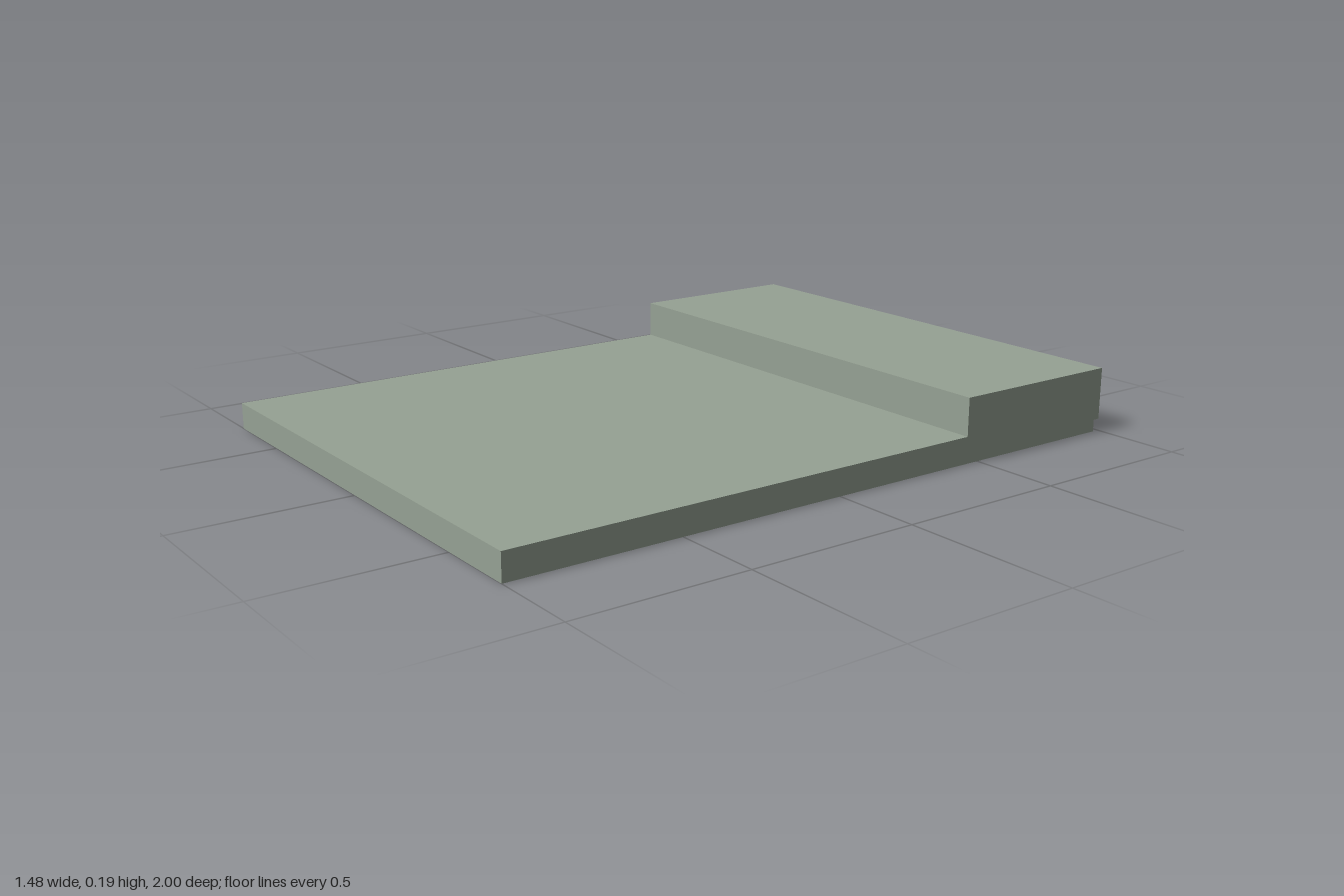
import * as THREE from 'three';

const WIDTH = 1.48;

export function createModel() {
  const group = new THREE.Group();
  group.name = 'steppedSlab';
  const greyGreen = new THREE.MeshStandardMaterial({ color: 0x96a294 });
  greyGreen.name = 'greyGreen';

  // Side profile as (z, y): thin deck, raised rear block, small notch under the back edge
  const profile = [
    [1, 0], [1, 0.077], [-0.458, 0.077], [-0.458, 0.187],
    [-1, 0.187], [-1, 0.035], [-0.98, 0.035], [-0.98, 0],
  ].map(([z, y]) => new THREE.Vector2(z, y));

  // Sweep the profile across the full width
  const geometry = new THREE.ExtrudeGeometry(new THREE.Shape(profile), {
    depth: WIDTH, bevelEnabled: false,
  });
  geometry.translate(0, 0, -WIDTH / 2);
  geometry.rotateY(-Math.PI / 2);

  const slab = new THREE.Mesh(geometry, greyGreen);
  slab.name = 'deckWithRaisedRearBlock';
  group.add(slab);
  return group;
}
